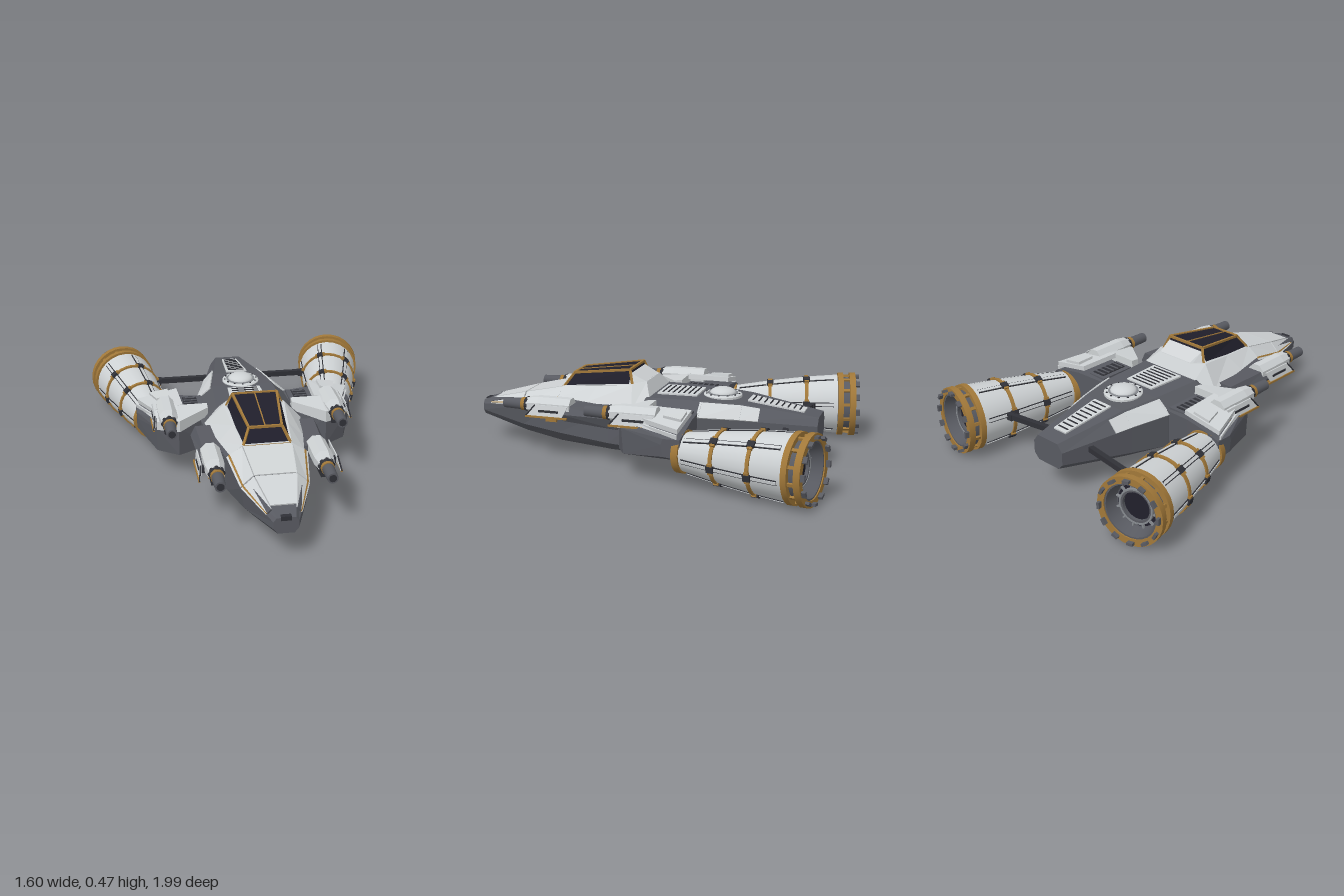
import * as THREE from 'three';
import { toCreasedNormals } from 'three/addons/utils/BufferGeometryUtils.js';

const paint = (name, color) => Object.assign(new THREE.MeshStandardMaterial({ color }), { name });
const V = (x, y, z) => new THREE.Vector3(x, y, z);

export function createModel() {
  const hullGrey = paint('hull grey', 0x585a61), white = paint('panel white', 0xced2d4);
  const gold = paint('bronze trim', 0xa17839), glass = paint('dark glass', 0x201f2b);
  const black = paint('dark metal', 0x303137), steel = paint('steel', 0x85898e);
  const root = new THREE.Group();
  root.name = 'spacecraft';

  const add = (name, geo, mat, parent = root) => {
    const m = new THREE.Mesh(geo, mat);
    m.name = name;
    parent.add(m);
    return m;
  };

  // closed faceted solid through loops of points; winding is fixed by signed volume
  const solid = (name, loops, mat, parent) => {
    let tris = [];
    const n = loops[0].length, last = loops[loops.length - 1];
    for (let i = 0; i + 1 < loops.length; i++)
      for (let j = 0; j < n; j++) {
        const k = (j + 1) % n, a = loops[i], b = loops[i + 1];
        tris.push([a[j], a[k], b[k]], [a[j], b[k], b[j]]);
      }
    for (let j = 1; j + 1 < n; j++)
      tris.push([loops[0][0], loops[0][j + 1], loops[0][j]], [last[0], last[j], last[j + 1]]);
    const o = loops[0][0];
    const volume = tris.reduce((s, [a, b, c]) =>
      s + a.clone().sub(o).dot(b.clone().sub(o).cross(c.clone().sub(o))), 0);
    if (volume < 0) tris = tris.map(([a, b, c]) => [a, c, b]);
    const geo = new THREE.BufferGeometry().setFromPoints(tris.flat());
    geo.computeVertexNormals();
    return add(name, geo, mat, parent);
  };

  // plate raised away from the hull axis
  const plate = (name, pts, mat, t = 0.007) => {
    const normal = pts[1].clone().sub(pts[0]).cross(pts[2].clone().sub(pts[0])).normalize();
    const mid = pts.reduce((s, p) => s.add(p), V(0, 0, 0)).divideScalar(pts.length);
    if (normal.dot(V(mid.x, mid.y - 0.15, 0)) < 0) normal.negate();
    return solid(name, [pts, pts.map(p => p.clone().addScaledVector(normal, t))], mat);
  };

  const bar = (name, a, b, w, mat, parent, h = w) => {
    const m = add(name, new THREE.BoxGeometry(w, h, a.distanceTo(b)), mat);
    m.position.copy(a).lerp(b, 0.5);
    m.lookAt(b);
    if (parent) parent.add(m);
    return m;
  };
  const lathe = (name, pts, mat, parent, seg = 28) => add(name, toCreasedNormals(
    new THREE.LatheGeometry(pts.map(p => new THREE.Vector2(...p)), seg), 0.4), mat, parent);
  const ring = (name, ri, ro, y0, y1, mat, parent) =>
    lathe(name, [[ri, y0], [ro, y0], [ro, y1], [ri, y1], [ri, y0]], mat, parent);

  // fuselage stations: z, then half-section corners (x, y) from keel to deck
  const stations = [
    [1.0, [0.04, 0.14], [0.06, 0.165], [0.06, 0.2], [0.045, 0.22]],
    [0.72, [0.105, 0.085], [0.15, 0.13], [0.165, 0.235], [0.1, 0.293]],
    [0.5, [0.15, 0.06], [0.2, 0.115], [0.2, 0.29], [0.12, 0.343]],
    [0.2, [0.19, 0.048], [0.26, 0.1], [0.25, 0.265], [0.14, 0.335]],
    [0.0, [0.2, 0.045], [0.27, 0.09], [0.265, 0.27], [0.18, 0.34]],
    [-0.28, [0.175, 0.06], [0.25, 0.1], [0.25, 0.27], [0.165, 0.34]],
    [-0.48, [0.14, 0.08], [0.195, 0.12], [0.195, 0.26], [0.13, 0.33]],
    [-0.86, [0.07, 0.14], [0.1, 0.17], [0.1, 0.235], [0.07, 0.275]],
  ];
  solid('fuselage', stations.map(([z, ...p]) => [
    ...p.map(([x, y]) => V(x, y, z)), ...p.slice().reverse().map(([x, y]) => V(-x, y, z))]), hullGrey);

  // point on the fuselage skin at station z and section position u (0 keel to 3 deck edge)
  const skinAt = (z, u, s) => {
    let i = 0;
    while (i < stations.length - 2 && z < stations[i + 1][0]) i++;
    const a = stations[i], b = stations[i + 1], t = (a[0] - z) / (a[0] - b[0]);
    const k = Math.min(2, Math.floor(u)), f = u - k;
    const mix = c => THREE.MathUtils.lerp(
      THREE.MathUtils.lerp(a[k + 1][c], a[k + 2][c], f), THREE.MathUtils.lerp(b[k + 1][c], b[k + 2][c], f), t);
    return V(s * mix(0), mix(1), z);
  };
  const skin = (name, s, zs, u0, u1, mat, t) => {
    for (let i = 0; i + 1 < zs.length; i++)
      plate(name, [skinAt(zs[i], u0, s), skinAt(zs[i], u1, s), skinAt(zs[i + 1], u1, s), skinAt(zs[i + 1], u0, s)], mat, t);
  };
  const deckY = z => skinAt(z, 3, 1).y;

  // nose deck plates and tip sensor
  for (const [z0, z1] of [[0.92, 0.724], [0.716, 0.5]])
    plate('noseDeck', [skinAt(z0, 3, 1), skinAt(z0, 3, -1), skinAt(z1, 3, -1), skinAt(z1, 3, 1)], white);
  add('noseSensor', new THREE.BoxGeometry(0.05, 0.022, 0.03), black).position.set(0, 0.215, 0.986);

  // cockpit fairing
  const both = pts => [...pts.map(p => V(...p)), ...pts.slice().reverse().map(([x, y, z]) => V(-x, y, z))];
  solid('cockpitFairing', [
    both([[0.185, 0.305, 0.505], [0.215, 0.298, 0.33], [0.255, 0.285, 0.07], [0.175, 0.338, 0]]),
    both([[0.122, 0.353, 0.5], [0.14, 0.369, 0.3], [0.16, 0.395, 0.1], [0.11, 0.405, 0.035]])], white);
  solid('fairingBack', [
    both([[0.15, 0.39, 0.12], [0.115, 0.39, 0.035]]), both([[0.115, 0.445, 0.12], [0.105, 0.405, 0.04]])], white);

  // canopy with bronze framing
  const low = both([[0.118, 0.345, 0.497], [0.148, 0.38, 0.1]]);
  const high = both([[0.082, 0.42, 0.445], [0.115, 0.463, 0.125]]);
  solid('canopyGlass', [low, high], glass);
  for (let i = 0; i < 4; i++) {
    const j = (i + 1) % 4;
    bar('canopyFrame', low[i], low[j], 0.012, gold);
    bar('canopyFrame', high[i], high[j], 0.012, gold);
    bar('canopyFrame', low[i], high[i], 0.012, gold);
  }
  bar('canopyRib', V(0, 0.421, 0.445), V(0, 0.464, 0.125), 0.006, gold);

  // deck grilles
  const grille = (z0, z1, w0, w1, count) => {
    const at = (x, z, dy) => V(x, deckY(z) + dy, z);
    plate('grillePanel', [at(w0, z0, 0), at(-w0, z0, 0), at(-w1, z1, 0), at(w1, z1, 0)], white, 0.008);
    for (let i = 0; i < count; i++) {
      const t = (i + 0.8) / (count + 0.6), z = z0 + (z1 - z0) * t, w = (w0 + (w1 - w0) * t) * 0.78;
      bar('grilleSlot', at(-w, z, 0.008), at(w, z, 0.008), 0.006, black, root, 0.008);
    }
  };
  grille(-0.02, -0.23, 0.098, 0.088, 7);
  grille(-0.49, -0.78, 0.058, 0.042, 9);

  // sensor dome
  const dome = new THREE.Group();
  dome.name = 'sensorDome';
  dome.position.set(0, 0.33, -0.345);
  root.add(dome);
  lathe('domeBase', [[0.1, -0.01], [0.1, 0.014], [0.092, 0.02], [0.074, 0.02], [0, 0.02]], white, dome);
  lathe('domeSeal', [[0.078, 0.019], [0.078, 0.023], [0, 0.023]], steel, dome);
  const cap = add('domeCap', new THREE.SphereGeometry(0.068, 24, 8, 0, Math.PI * 2, 0, Math.PI / 2), white, dome);
  cap.position.y = 0.02;
  cap.scale.y = 0.45;
  for (let i = 0; i < 12; i++)
    add('domeBolt', new THREE.BoxGeometry(0.008, 0.005, 0.008), black, dome)
      .position.set(0.087 * Math.sin(i * Math.PI / 6), 0.021, 0.087 * Math.cos(i * Math.PI / 6));

  // cannon pointing forward, placed by its muzzle
  const cannon = (name, s, x, y, zTip) => {
    const g = new THREE.Group();
    g.name = name;
    g.position.set(s * x, y, zTip);
    root.add(g);
    const tube = (part, r0, r1, z0, z1, mat, seg = 16) => {
      const m = add(part, toCreasedNormals(new THREE.CylinderGeometry(r0, r1, z0 - z1, seg).rotateX(Math.PI / 2), 0.5), mat, g);
      m.position.z = (z0 + z1) / 2;
      return m;
    };
    tube('barrel', 0.027, 0.031, 0, -0.11, hullGrey);
    tube('muzzle', 0.019, 0.019, 0.001, -0.02, black);
    tube('barrelBand', 0.034, 0.034, -0.1, -0.122, gold);
    tube('collar', 0.036, 0.044, -0.12, -0.14, black, 8);
    tube('housing', 0.042, 0.052, -0.135, -0.2, white, 8).rotation.z = Math.PI / 8;
    tube('housing', 0.052, 0.052, -0.2, -0.38, white, 8).rotation.z = Math.PI / 8;
    // outer shield with bronze edges
    const side = s * 0.068, lean = py => side + s * (0.004 - py * 0.2);
    solid('shield', [0, 0.006].map(d => [[0.018, -0.2], [0.018, -0.38], [-0.042, -0.35], [-0.042, -0.15]]
      .map(([py, pz]) => V(lean(py) - s * d, py, pz))), white, g);
    bar('shieldEdge', V(lean(-0.042), -0.042, -0.15), V(lean(-0.042), -0.042, -0.38), 0.01, gold, g);
    bar('shieldEdge', V(lean(-0.042), -0.042, -0.15), V(lean(0.018), 0.018, -0.2), 0.007, black, g);
    bar('shieldSlot', V(lean(-0.012), -0.012, -0.22), V(lean(-0.012), -0.012, -0.33), 0.006, black, g, 0.012);
    bar('shieldMount', V(0, -0.02, -0.24), V(side, -0.02, -0.24), 0.03, black, g);
    bar('underRail', V(0, -0.048, -0.14), V(0, -0.048, -0.38), 0.05, black, g, 0.03);
    bar('railBracket', V(s * 0.02, -0.072, -0.24), V(s * 0.02, -0.072, -0.3), 0.014, gold, g);
  };

  // tapered engine along local +y
  const engine = s => {
    const g = new THREE.Group();
    g.name = s > 0 ? 'leftEngine' : 'rightEngine';
    g.position.set(s * 0.495, 0.17, -0.285);
    g.quaternion.setFromUnitVectors(V(0, 1, 0), V(s * 0.203, 0.012, -0.979).normalize());
    root.add(g);
    const prof = [[0.096, 0], [0.126, 0.2], [0.15, 0.4], [0.163, 0.57]];
    const rad = y => { const i = y < 0.2 ? 0 : y < 0.4 ? 1 : 2, [a, b] = [prof[i], prof[i + 1]];
      return a[0] + (b[0] - a[0]) * (y - a[1]) / (b[1] - a[1]); };
    lathe('engineCowl', [...prof, [0.14, 0.572]], white, g, 24);
    lathe('engineFront', [[0, -0.012], [0.097, -0.012]], hullGrey, g);
    lathe('nozzle', [[0.148, 0.565], [0.148, 0.662], [0.132, 0.662], [0.112, 0.6], [0.084, 0.59], [0.084, 0.615], [0.072, 0.615], [0.072, 0.59]], hullGrey, g);
    lathe('nozzleThroat', [[0.114, 0.598], [0, 0.598]], glass, g);
    ring('nozzleLip', 0.082, 0.09, 0.59, 0.618, steel, g);
    ring('frontBand', 0.09, 0.108, -0.022, 0.014, gold, g);
    ring('rearBand', 0.145, 0.174, 0.573, 0.602, gold, g);
    ring('tailBand', 0.14, 0.175, 0.636, 0.668, gold, g);
    for (const y of [0.2, 0.4]) ring('cowlBand', rad(y) - 0.01, rad(y) + 0.008, y - 0.009, y + 0.009, gold, g);
    const spin = (name, count, offset, size, r, y, mat) => {
      for (let i = 0; i < count; i++) {
        const a = (i + offset) / count * Math.PI * 2;
        const m = add(name, new THREE.BoxGeometry(...size), mat, g);
        m.position.set(r * Math.sin(a), y, r * Math.cos(a));
        m.rotation.y = a;
      }
    };
    for (const y of [0.2, 0.4]) {
      spin('clampBase', 6, 0.5, [0.056, 0.024, 0.022], rad(y) + 0.001, y, gold);
      spin('bandClamp', 6, 0.5, [0.032, 0.036, 0.022], rad(y) + 0.004, y, black);
    }
    spin('tailPost', 12, 0, [0.016, 0.04, 0.012], 0.156, 0.62, gold);
    spin('tailTooth', 12, 0.5, [0.032, 0.022, 0.014], 0.158, 0.678, hullGrey);
    spin('throatVane', 12, 0, [0.008, 0.012, 0.026], 0.1, 0.604, steel);
    // raised lengthwise strips on dark beds
    for (let i = 0; i < 6; i++) {
      const a = (i + 0.5) / 6 * Math.PI * 2;
      for (const [y0, y1] of [[0.03, 0.18], [0.22, 0.38], [0.42, 0.55]]) {
        const at = y => V(rad(y) * 0.993 * Math.sin(a), y, rad(y) * 0.993 * Math.cos(a));
        const bed = new THREE.Group();
        bed.name = 'cowlStrip';
        bed.position.copy(at(y0)).lerp(at(y1), 0.5);
        bed.rotation.set(Math.atan2(rad(y1) - rad(y0), y1 - y0), a, 0, 'YXZ');
        g.add(bed);
        add('stripBed', new THREE.BoxGeometry(0.024, y1 - y0, 0.008), black, bed);
        add('strip', new THREE.BoxGeometry(0.015, y1 - y0, 0.014), white, bed);
      }
    }
  };

  for (const s of [1, -1]) {
    const P = pts => pts.map(([x, y, z]) => V(s * x, y, z));
    const spanwise = loops => loops.map(([x, ...p]) => P(p.map(([y, z]) => [x, y, z])));
    // nose cheeks, bronze pinstripes and rear shoulder panels
    for (const zs of [[0.94, 0.724], [0.716, 0.5]]) {
      skin('noseCheek', s, zs, 2.02, 2.14, white);
      skin('noseCheek', s, zs, 2.24, 3, white);
    }
    skin('noseStripe', s, [0.94, 0.72, 0.5], 2.14, 2.24, gold, 0.009);
    plate('noseSlot', [skinAt(0.945, 2.3, s), skinAt(0.945, 3, s), skinAt(0.78, 2.6, s)], hullGrey, 0.01);
    skin('shoulderPanel', s, [-0.27, -0.28, -0.48, -0.57], 2, 2.88, white);

    // forward pod carrying the inner cannon
    solid('forwardPod', [P([[0.18, 0.19, 0.13], [0.31, 0.19, 0.13], [0.335, 0.25, 0.13], [0.31, 0.3, 0.13], [0.18, 0.3, 0.13]]),
      P([[0.18, 0.21, 0.43], [0.3, 0.21, 0.43], [0.325, 0.25, 0.43], [0.3, 0.29, 0.43], [0.18, 0.29, 0.43]])], hullGrey);
    cannon('innerCannon', s, 0.268, 0.277, 0.77);
    cannon('outerCannon', s, 0.44, 0.316, 0.25);

    // wing arm, from the fuselage out to the engine
    solid('wingArm', spanwise([
      [0.2, [0.12, -0.02], [0.27, -0.04], [0.29, -0.06], [0.29, -0.27], [0.12, -0.27]],
      [0.39, [0.12, 0.09], [0.27, 0.09], [0.3, 0.06], [0.3, -0.29], [0.12, -0.29]],
      [0.5, [0.13, 0.03], [0.26, 0.04], [0.29, 0], [0.285, -0.295], [0.12, -0.295]],
      [0.585, [0.16, -0.2], [0.22, -0.19], [0.25, -0.2], [0.25, -0.285], [0.15, -0.285]],
    ]), hullGrey);

    // white wing armour: rear panel, forward apron and edge plates
    plate('wingPanel', P([[0.36, 0.318, -0.28], [0.35, 0.322, -0.05], [0.5, 0.3, -0.05], [0.575, 0.275, -0.27]]), white, 0.025);
    solid('wingApron', spanwise([
      [0.225, [0.29, -0.055], [0.29, -0.01], [0.338, -0.01], [0.343, -0.055]],
      [0.385, [0.28, -0.055], [0.26, 0.107], [0.322, 0.107], [0.343, -0.055]],
      [0.5, [0.26, -0.055], [0.26, 0.06], [0.305, 0.06], [0.323, -0.055]],
    ]), white);
    plate('wingEdge', P([[0.505, 0.3, -0.05], [0.58, 0.273, -0.27], [0.575, 0.24, -0.27], [0.52, 0.25, -0.05]]), white, 0.008);
    plate('wingHatch', P([[0.41, 0.334, -0.27], [0.41, 0.336, -0.17], [0.48, 0.324, -0.17], [0.51, 0.318, -0.27]]), white, 0.014);

    // wing root vent, sunk below the armour
    add('rootVent', new THREE.BoxGeometry(0.11, 0.03, 0.2), hullGrey).position.set(s * 0.29, 0.288, -0.155);
    add('ventInset', new THREE.BoxGeometry(0.075, 0.008, 0.16), black).position.set(s * 0.3, 0.303, -0.155);
    for (let i = 0; i < 5; i++)
      bar('ventSlat', V(s * 0.265, 0.306, -0.22 + i * 0.032), V(s * 0.335, 0.306, -0.22 + i * 0.032), 0.008, hullGrey);

    // brace between tail and engine
    bar('engineBrace', V(s * 0.12, 0.215, -0.705), V(s * 0.46, 0.2, -0.74), 0.028, black);
    bar('braceJoint', V(s * 0.405, 0.2, -0.735), V(s * 0.45, 0.2, -0.74), 0.034, black);
    engine(s);
  }
  return root;
}
